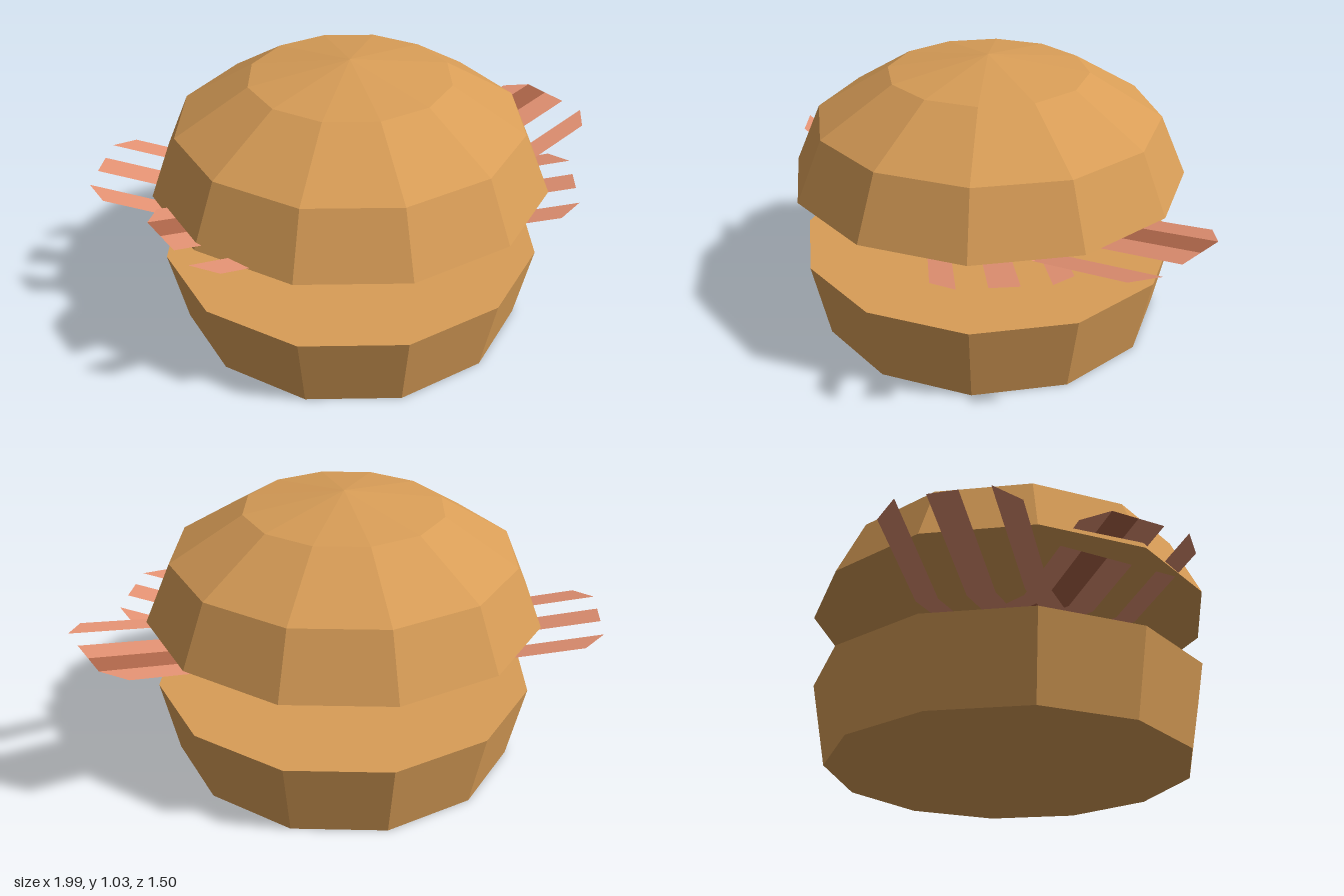
import * as THREE from 'three';

const HALF = 0.908;      // half length of a bacon rasher
const RISE = 0.105;      // height of its zigzag

// W-shaped zigzag: high at the ends and the middle, low at the quarters
function zigzag(a) {
  const t = Math.abs(a) / (HALF / 2);
  return RISE * Math.abs(1 - t);
}

// One lengthwise band between the offsets b0 and b1; a cut shortens that edge at both ends
function bandGeometry(b0, b1, cut0, cut1) {
  const positions = [], index = [];
  for (let i = -2; i <= 2; i++) {
    const a = i * HALF / 2;
    const end = Math.abs(i) === 2 ? Math.sign(i) : 0;
    for (const [b, cut] of [[b0, cut0], [b1, cut1]]) {
      const along = a - end * cut;
      positions.push(along, zigzag(along), b);
    }
  }
  for (let i = 0; i < 4; i++) {
    const k = i * 2;
    index.push(k, k + 1, k + 2, k + 1, k + 3, k + 2);
  }
  const g = new THREE.BufferGeometry();
  g.setAttribute('position', new THREE.Float32BufferAttribute(positions, 3));
  g.setIndex(index);
  const flat = g.toNonIndexed();
  flat.computeVertexNormals();
  return flat;
}

export function createModel() {
  const bread = new THREE.MeshStandardMaterial({ name: 'toasted bread', color: 0xd89d57, flatShading: true });
  const fat = new THREE.MeshStandardMaterial({ name: 'pink bacon', color: 0xe49273, flatShading: true, side: THREE.DoubleSide });
  const meat = new THREE.MeshStandardMaterial({ name: 'dark bacon', color: 0xb0674a, flatShading: true, side: THREE.DoubleSide });

  const model = new THREE.Group();
  model.name = 'burger';
  const add = (parent, name, geometry, material) => {
    const mesh = new THREE.Mesh(geometry, material);
    mesh.name = name;
    parent.add(mesh);
    return mesh;
  };

  // Bottom bun
  add(model, 'bottomBun', new THREE.CylinderGeometry(0.728, 0.668, 0.302, 12), bread)
    .position.set(-0.032, 0.151, 0);

  // Top bun: flattened dome with a flat underside
  const topBun = new THREE.Group();
  topBun.name = 'topBun';
  topBun.position.set(-0.032, 0.58, 0);
  model.add(topBun);
  const dome = new THREE.SphereGeometry(0.75, 12, 3, 0, Math.PI * 2, 0, Math.PI / 2);
  dome.scale(1, 0.6, 1);
  add(topBun, 'topBunDome', dome, bread);
  const base = new THREE.CircleGeometry(0.75, 12);
  base.rotateX(Math.PI / 2);
  add(topBun, 'topBunBase', base, bread);

  // Two crossed bacon rashers made of lengthwise bands
  const rasher = (name, x, y, z, degrees, bands) => {
    const group = new THREE.Group();
    group.name = name;
    group.position.set(x, y, z);
    group.rotation.y = THREE.MathUtils.degToRad(degrees);
    for (const [band, b0, b1, cut0, cut1, material] of bands) {
      add(group, band, bandGeometry(b0, b1, cut0, cut1), material);
    }
    model.add(group);
  };
  const pinkBands = [
    ['backBand', -0.23, -0.15, 0.072, 0, fat],
    ['middleBand', -0.05, 0.05, 0, 0, fat],
    ['frontBand', 0.15, 0.23, 0, 0.072, fat],
  ];
  rasher('lowerBacon', -0.095, 0.46, 0, -20, pinkBands);
  rasher('upperBacon', 0.087, 0.52, 0.064, 20, [...pinkBands, ['darkBand', -0.15, -0.05, 0, 0, meat]]);

  return model;
}
